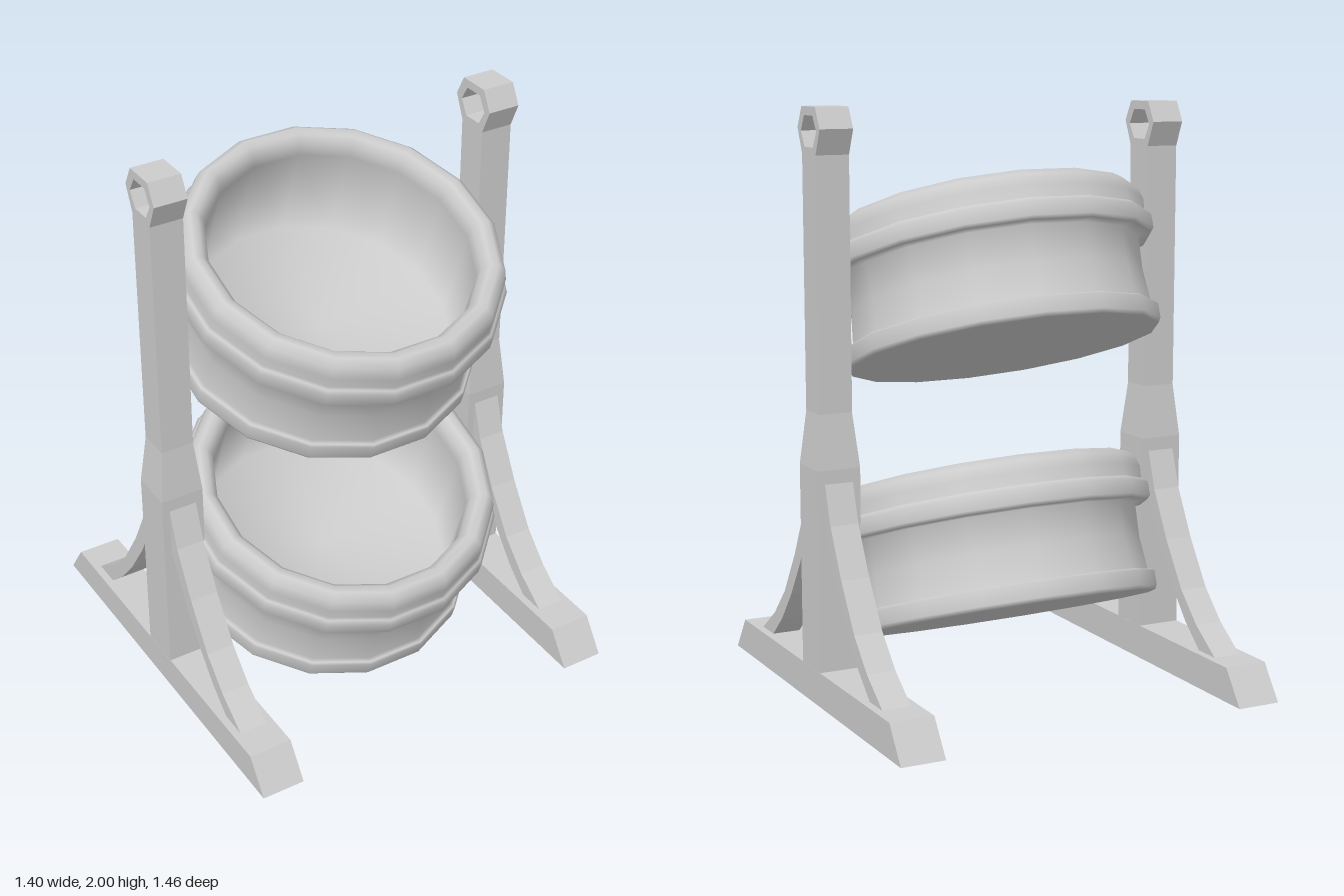
import * as THREE from 'three';

const grey = new THREE.MeshStandardMaterial({ color: 0xcccccc });
const flat = new THREE.MeshStandardMaterial({ color: 0xcccccc, flatShading: true });

const vec = ([x, y]) => new THREE.Vector2(x, y);

// Side profile (z, y) extruded to a given width and centred across x
function slab(name, points, width, hole) {
  const shape = new THREE.Shape(points.map(vec));
  if (hole) shape.holes.push(new THREE.Path(hole.map(vec)));
  const geo = new THREE.ExtrudeGeometry(shape, { depth: width, bevelEnabled: false });
  geo.translate(0, 0, -width / 2).rotateY(-Math.PI / 2);
  const mesh = new THREE.Mesh(geo, flat);
  mesh.name = name;
  return mesh;
}

// Square post section between two heights, given half widths
function postSection(name, top, bottom, y0, y1) {
  const geo = new THREE.CylinderGeometry(top * Math.SQRT2, bottom * Math.SQRT2, y1 - y0, 4, 1, true);
  geo.rotateY(Math.PI / 4).translate(0, (y0 + y1) / 2, 0);
  const mesh = new THREE.Mesh(geo, flat);
  mesh.name = name;
  return mesh;
}

function createStand() {
  const stand = new THREE.Group();

  // Foot with sloped ends
  stand.add(slab('foot', [[-0.73, 0], [0.73, 0], [0.645, 0.12], [-0.645, 0.12]], 0.155));

  // Post: thick lower part, taper, slim upper part ending in a hexagonal eye
  stand.add(postSection('lowerPost', 0.077, 0.077, 0.12, 0.81));
  stand.add(postSection('postTaper', 0.058, 0.077, 0.81, 0.995));
  const upper = [
    [-0.058, 0.995], [0.058, 0.995], [0.058, 1.845], [0.095, 1.93],
    [0.058, 2], [-0.058, 2], [-0.095, 1.93], [-0.058, 1.845],
  ];
  const eye = [
    [0.066, 1.92], [0.036, 1.971], [-0.036, 1.971],
    [-0.066, 1.92], [-0.036, 1.869], [0.036, 1.869],
  ];
  stand.add(slab('upperPost', upper, 0.117, eye));

  // Curved braces at the front and the back
  const brace = [
    [0.07, 0.785], [0.12, 0.63], [0.206, 0.466], [0.31, 0.307], [0.41, 0.205], [0.53, 0.12],
    [0.43, 0.12], [0.34, 0.2], [0.25, 0.307], [0.16, 0.44], [0.07, 0.605],
  ];
  for (const s of [-1, 1]) {
    stand.add(slab(s > 0 ? 'frontBrace' : 'backBrace', brace.map(([z, y]) => [s * z, y]), 0.1));
  }
  return stand;
}

// Basket: foot band, slightly waisted wall, raised hoop, rolled lip and hollow inside
function createBasket() {
  const profile = [
    [0, 0], [0.535, 0], [0.543, 0.015], [0.543, 0.065], [0.535, 0.072], [0.52, 0.075],
    [0.51, 0.19], [0.515, 0.31], [0.56, 0.313], [0.571, 0.325], [0.571, 0.372], [0.56, 0.385],
    [0.55, 0.39], [0.553, 0.43], [0.542, 0.47], [0.515, 0.491], [0.487, 0.487], [0.463, 0.462],
    [0.455, 0.42], [0.455, 0.06], [0, 0.06],
  ];
  const geo = new THREE.LatheGeometry(profile.map(vec), 16, Math.PI / 16);
  return new THREE.Mesh(geo, grey);
}

export function createModel() {
  const model = new THREE.Group();
  model.name = 'tieredBasketRack';

  for (const s of [-1, 1]) {
    const stand = createStand();
    stand.name = s > 0 ? 'leftStand' : 'rightStand';
    stand.position.x = s * 0.623;
    model.add(stand);
  }

  // Two baskets tipped towards the front
  [['lowerBasket', 0.233], ['upperBasket', 1.167]].forEach(([name, y]) => {
    const basket = createBasket();
    basket.name = name;
    basket.position.set(0, y, -0.065);
    basket.rotation.x = THREE.MathUtils.degToRad(20);
    model.add(basket);
  });
  return model;
}
